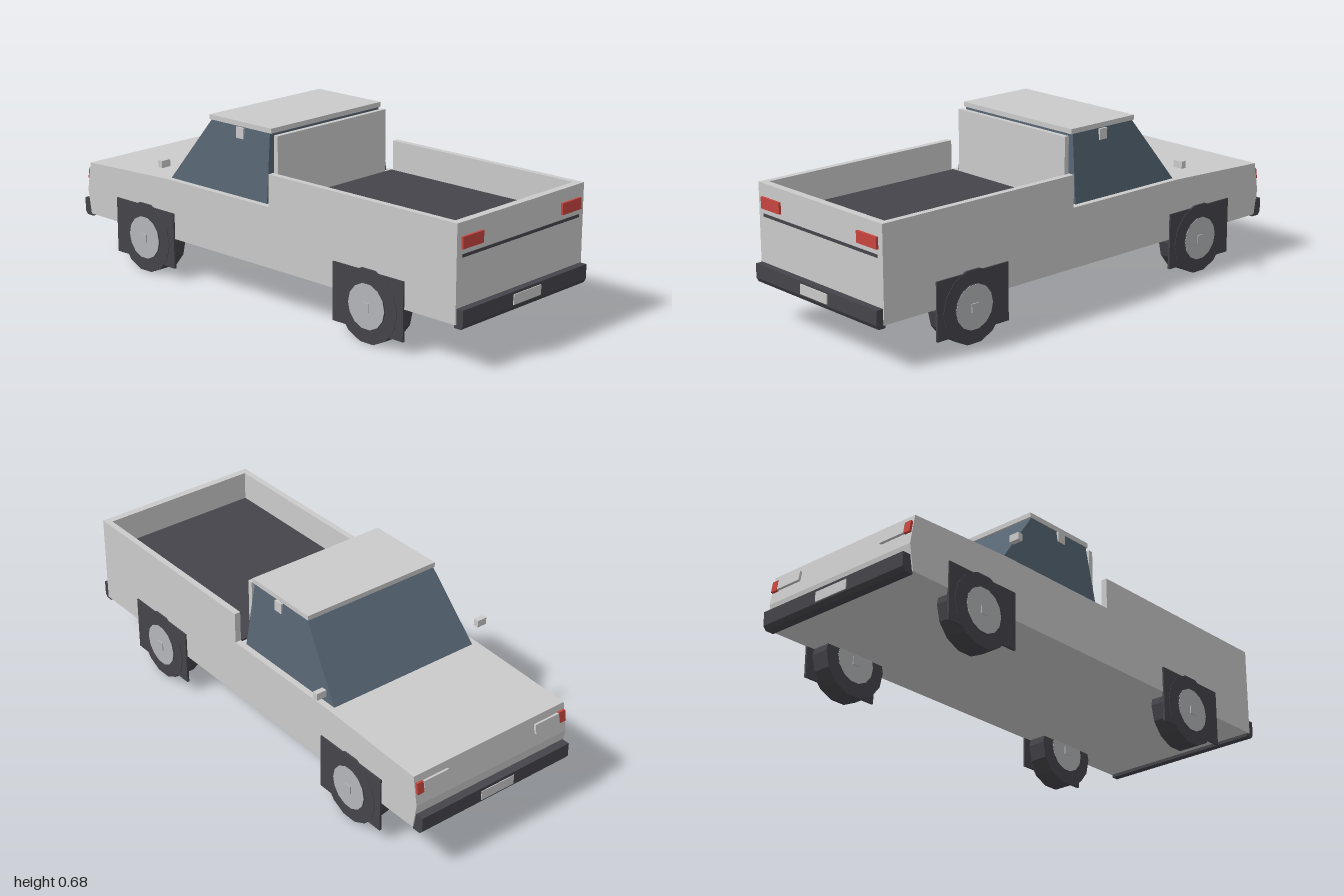
import * as THREE from 'three';

const mat = (name, color) => {
  const m = new THREE.MeshStandardMaterial({ color });
  m.name = name;
  return m;
};

export function createModel() {
  const truck = new THREE.Group();
  truck.name = 'pickupTruck';
  const paint = mat('bodyPaint', 0xcbcbcb);
  const dark = mat('darkTrim', 0x45444a);
  const glass = mat('windowGlass', 0x566573);
  const red = mat('redLamp', 0xc8453f);
  const steel = mat('hubSteel', 0xb4b6ba);

  const add = (name, geometry, material, parent = truck) => {
    const mesh = new THREE.Mesh(geometry, material);
    mesh.name = name;
    parent.add(mesh);
    return mesh;
  };
  // box given by its limits on each axis
  const box = (name, material, [x0, x1], [y0, y1], [z0, z1], parent = truck) => {
    const mesh = add(name, new THREE.BoxGeometry(x1 - x0, y1 - y0, z1 - z0), material, parent);
    mesh.position.set((x0 + x1) / 2, (y0 + y1) / 2, (z0 + z1) / 2);
    return mesh;
  };
  // side profile of (z, y) points, extruded across the width
  const profile = (name, material, points, halfWidth) => {
    const shape = new THREE.Shape(points.map(([z, y]) => new THREE.Vector2(z, y)));
    const g = new THREE.ExtrudeGeometry(shape, { depth: 2 * halfWidth, bevelEnabled: false });
    g.translate(0, 0, -halfWidth).rotateY(-Math.PI / 2);
    return add(name, g, material);
  };
  const span = (side, a, b) => (side > 0 ? [a, b] : [-b, -a]);

  // lower body with sloping hood and creased nose
  profile('lowerBody', paint, [
    [0.965, 0.165], [0.965, 0.4], [-0.49, 0.4], [-0.95, 0.38], [-0.97, 0.265], [-0.953, 0.165],
  ], 0.355);

  // cargo bed
  box('bedFloor', dark, [-0.33, 0.33], [0.398, 0.407], [0.062, 0.935]);
  box('tailgate', paint, [-0.33, 0.33], [0.4, 0.525], [0.935, 0.965]);
  for (const s of [1, -1]) box('bedSide', paint, span(s, 0.33, 0.355), [0.4, 0.525], [0.07, 0.965]);
  box('tailgateGroove', dark, [-0.327, 0.327], [0.4, 0.411], [0.96, 0.968]);

  // tapered glass cabin
  const cabin = new THREE.BoxGeometry(1, 1, 1);
  const p = cabin.attributes.position;
  for (let i = 0; i < p.count; i++) {
    const top = p.getY(i) > 0;
    const back = p.getZ(i) > 0;
    p.setXYZ(i, Math.sign(p.getX(i)) * (top ? 0.296 : 0.33), top ? 0.662 : 0.399,
      back ? (top ? 0.02 : 0.036) : (top ? -0.29 : -0.49));
  }
  cabin.computeVertexNormals();
  add('cabinGlass', cabin, glass);
  box('cabRearPanel', paint, [-0.296, 0.296], [0.4, 0.655], [0.04, 0.06]);
  box('roof', paint, [-0.299, 0.299], [0.66, 0.679], [-0.3, 0.03]);

  // bumpers with licence plates
  profile('rearBumper', dark, [
    [0.955, 0.152], [0.955, 0.223], [0.994, 0.223], [0.994, 0.168], [0.985, 0.152],
  ], 0.35);
  profile('frontBumper', dark, [
    [-0.95, 0.155], [-0.985, 0.155], [-0.997, 0.17], [-0.997, 0.225], [-0.95, 0.225],
  ], 0.35);
  box('rearPlate', paint, [-0.077, 0.077], [0.175, 0.213], [0.992, 0.998]);
  box('frontPlate', paint, [-0.077, 0.077], [0.175, 0.213], [-1, -0.994]);

  // paired details
  for (const s of [1, -1]) {
    box('tailLamp', red, span(s, 0.222, 0.332), [0.431, 0.475], [0.96, 0.974]);
    box('headLamp', paint, span(s, 0.205, 0.32), [0.314, 0.352], [-0.968, -0.952]).rotation.x = 0.17;
    box('frontMarker', red, span(s, 0.322, 0.351), [0.311, 0.355], [-0.968, -0.952]).rotation.x = 0.17;
    box('sideMirror', paint, span(s, 0.361, 0.403), [0.458, 0.486], [-0.482, -0.46]);
    box('upperDoorBracket', paint, span(s, 0.275, 0.306), [0.615, 0.657], [-0.15, -0.112]);
  }

  // wheels with flat rectangular arch plates
  const cylinder = (r, width, sides) =>
    new THREE.CylinderGeometry(r, r, width, sides).toNonIndexed().rotateZ(Math.PI / 2);
  const tyreGeo = cylinder(0.1412, 0.086, 14);
  tyreGeo.computeVertexNormals();
  const rimGeo = cylinder(0.087, 0.093, 14);
  rimGeo.computeVertexNormals();
  const hubGeo = cylinder(0.086, 0.096, 14);
  hubGeo.computeVertexNormals();
  for (const z of [0.567, -0.617]) {
    for (const s of [1, -1]) {
      const wheel = new THREE.Group();
      wheel.name = 'wheel';
      wheel.position.set(s * 0.32, 0.138, z);
      truck.add(wheel);
      add('tyre', tyreGeo, dark, wheel);
      add('rimEdge', rimGeo, dark, wheel);
      add('hubDisc', hubGeo, steel, wheel);
      box('hubCap', steel, [-0.052, 0.052], [-0.018, 0.015], [-0.016, 0.016], wheel);
      box('archPlate', dark, span(s, 0.352, 0.361), [0.045, 0.268], [z - 0.168, z + 0.168]);
    }
  }
  return truck;
}
